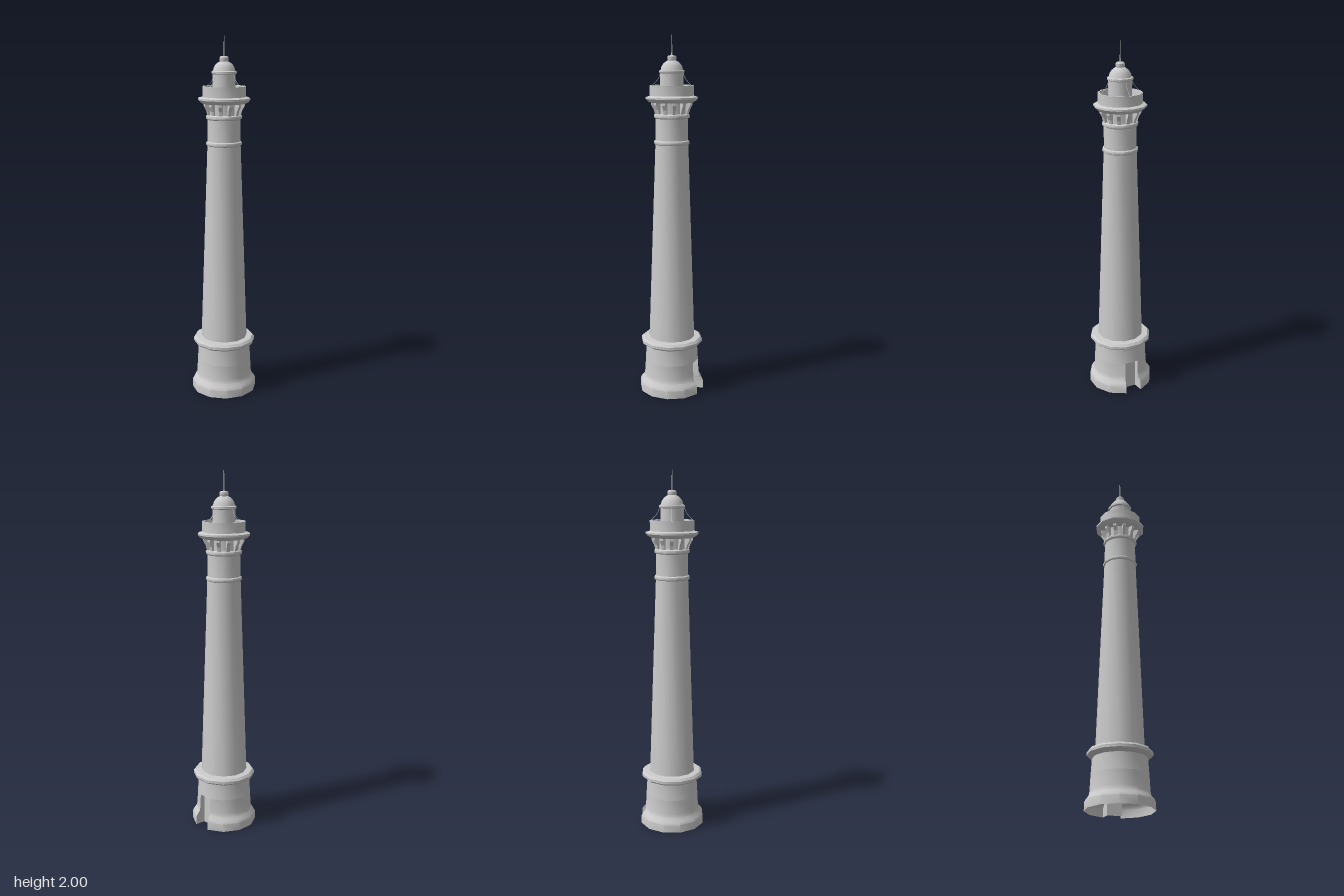
import * as THREE from 'three';
import { toCreasedNormals } from 'three/addons/utils/BufferGeometryUtils.js';

const SIDES = 12;
const STEP = (Math.PI * 2) / SIDES;
const material = new THREE.MeshStandardMaterial({ color: 0xcccccc, side: THREE.DoubleSide });

function add(parent, name, geometry) {
  const mesh = new THREE.Mesh(geometry, material);
  mesh.name = name;
  parent.add(mesh);
  return mesh;
}

// Twelve-sided turned part; smooth around, sharp at profile corners
function turned(parent, name, profile, start = 0, sides = SIDES) {
  const points = profile.map(([r, y]) => new THREE.Vector2(r, y));
  const lathe = new THREE.LatheGeometry(points, sides, start, sides * STEP);
  return add(parent, name, toCreasedNormals(lathe, 0.6));
}

// Flat four-cornered faces
function quads(parent, name, faces) {
  const positions = faces.flatMap(([a, b, c, d]) => [a, b, c, a, c, d]).flat();
  const geometry = new THREE.BufferGeometry();
  geometry.setAttribute('position', new THREE.Float32BufferAttribute(positions, 3));
  geometry.computeVertexNormals();
  return add(parent, name, geometry);
}

export function createModel() {
  const group = new THREE.Group();
  group.name = 'lighthouse';
  const half = STEP / 2;

  // Flared base with one face left open for the doorway on +x
  const doorTop = 0.18;
  const flare = [[0.183, 0], [0.183, 0.045], [0.174, 0.062], [0.16, 0.078], [0.156, 0.1], [0.152, doorTop]];
  turned(group, 'flaredBase', flare, Math.PI / 2 + half, SIDES - 1);
  turned(group, 'upperBase', [[0.152, doorTop], [0.146, 0.275]], half);

  // Recessed doorway: side walls follow the flare, then lintel and door
  const doorX = 0.118;
  const doorZ = 0.04;
  const edge = ([r, y], s) => [r * Math.cos(half), y, s * r * Math.sin(half)];
  const reveals = [];
  for (const s of [-1, 1]) {
    for (let i = 0; i < flare.length - 1; i++) {
      const [low, high] = [flare[i], flare[i + 1]];
      const wall = [edge(low, s), [doorX, low[1], s * doorZ], [doorX, high[1], s * doorZ], edge(high, s)];
      reveals.push(s > 0 ? wall : wall.reverse());
    }
  }
  const last = flare[flare.length - 1];
  reveals.push([edge(last, -1), edge(last, 1), [doorX, doorTop, doorZ], [doorX, doorTop, -doorZ]]);
  quads(group, 'doorwayReveal', reveals);
  quads(group, 'door', [[[doorX, 0, doorZ], [doorX, 0, -doorZ], [doorX, doorTop, -doorZ], [doorX, doorTop, doorZ]]]);

  // Ledge, tapered tower and upper shaft
  turned(group, 'baseLedge', [[0.146, 0.27], [0.162, 0.276], [0.175, 0.287], [0.175, 0.302], [0.164, 0.314], [0.125, 0.317]], half);
  turned(group, 'tower', [[0.13, 0.31], [0.091, 1.42]], half);
  turned(group, 'upperShaft', [[0.09, 1.42], [0.089, 1.57]], half);

  // Moulding rings around the shaft
  for (const y of [1.427, 1.57]) {
    turned(group, 'shaftRing', [[0.088, y - 0.014], [0.097, y - 0.008], [0.099, y], [0.097, y + 0.008], [0.088, y + 0.014]], half);
  }

  // Neck ringed by gallery brackets
  turned(group, 'neck', [[0.085, 1.57], [0.085, 1.65]]);
  const side = new THREE.Shape();
  side.moveTo(0.08, 1.582);
  side.lineTo(0.092, 1.582);
  side.lineTo(0.098, 1.605);
  side.lineTo(0.112, 1.63);
  side.lineTo(0.112, 1.65);
  side.lineTo(0.08, 1.65);
  const bracketShape = new THREE.ExtrudeGeometry(side, { depth: 0.018, bevelEnabled: false });
  bracketShape.translate(0, 0, -0.009);
  for (let i = 0; i < SIDES; i++) {
    add(group, 'galleryBracket', bracketShape).rotation.y = i * STEP;
  }

  // Gallery slab and hollow parapet
  turned(group, 'gallerySlab', [[0.08, 1.642], [0.118, 1.643], [0.132, 1.651], [0.143, 1.663], [0.143, 1.672], [0.118, 1.68]]);
  turned(group, 'parapet', [[0.12, 1.675], [0.12, 1.735], [0.112, 1.735], [0.107, 1.682], [0.05, 1.684]]);

  // Lantern, eave ring, dome and vent
  turned(group, 'lantern', [[0.063, 1.68], [0.063, 1.81]]);
  turned(group, 'eaveRing', [[0.062, 1.798], [0.07, 1.803], [0.07, 1.813], [0.06, 1.817]]);
  turned(group, 'dome', [[0.061, 1.815], [0.056, 1.835], [0.045, 1.851], [0.031, 1.862], [0.02, 1.867]]);
  turned(group, 'vent', [[0.02, 1.863], [0.024, 1.869], [0.024, 1.886], [0.019, 1.892], [0, 1.894]]);

  // Lightning rod
  const rod = add(group, 'lightningRod', new THREE.CylinderGeometry(0.0012, 0.0035, 0.11, 6));
  rod.position.y = 1.945;

  // Four curved stays from the eave to the parapet
  const stayCurve = new THREE.CatmullRomCurve3([
    new THREE.Vector3(0.066, 1.808, 0),
    new THREE.Vector3(0.074, 1.78, 0),
    new THREE.Vector3(0.092, 1.755, 0),
    new THREE.Vector3(0.114, 1.734, 0),
  ]);
  const stayShape = new THREE.TubeGeometry(stayCurve, 8, 0.0013, 5);
  for (let i = 0; i < 4; i++) {
    add(group, 'stay', stayShape).rotation.y = (i * Math.PI) / 2;
  }

  return group;
}
